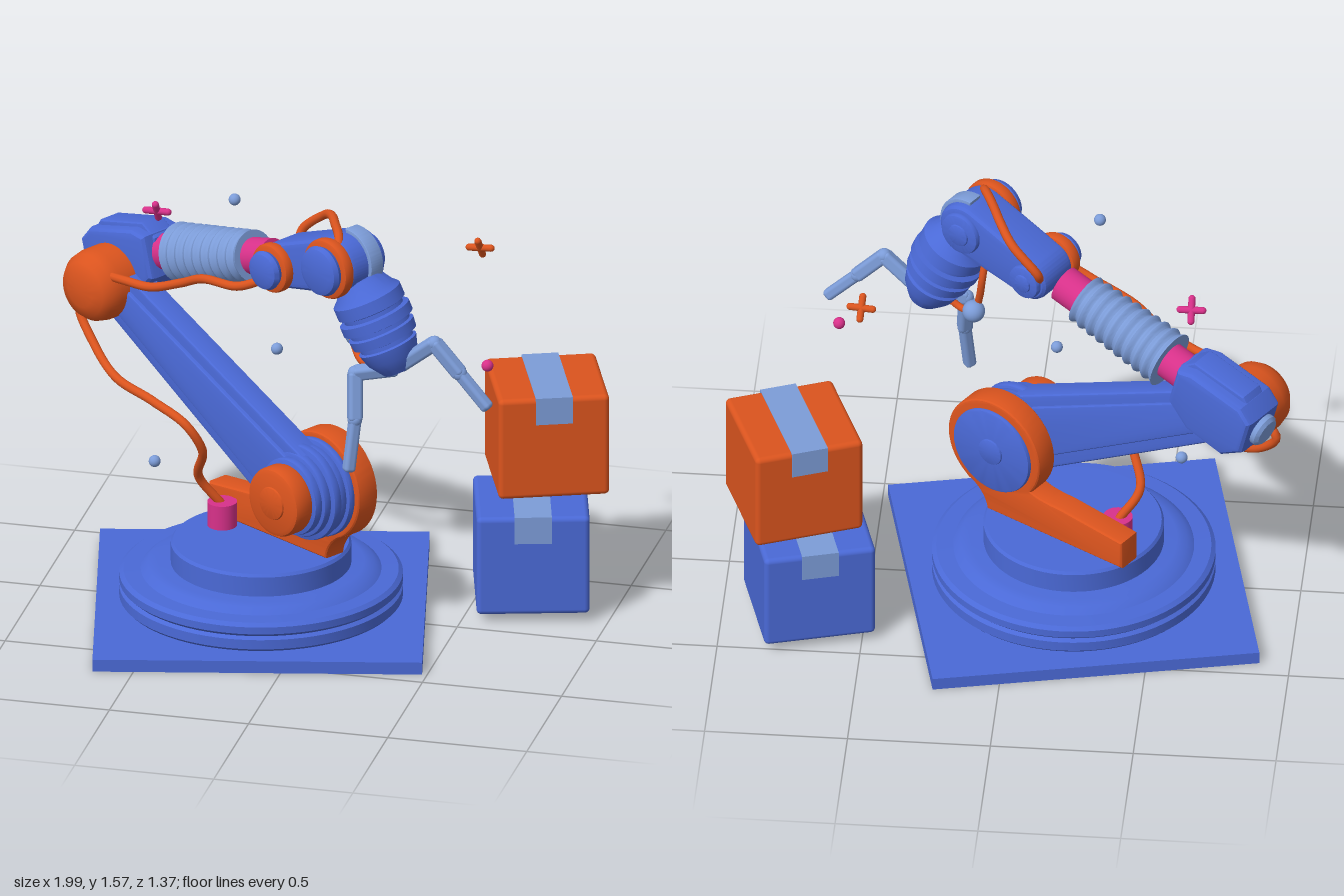
import * as THREE from 'three';
import { toCreasedNormals } from 'three/addons/utils/BufferGeometryUtils.js';
import { RoundedBoxGeometry } from 'three/addons/geometries/RoundedBoxGeometry.js';

const paint = (color) => new THREE.MeshStandardMaterial({ color });
const BLUE = paint(0x4a69d6), ORANGE = paint(0xdb541e), LIGHT = paint(0x7c9cd8), PINK = paint(0xd8318a);
const V = (p) => new THREE.Vector3(...p);

function add(parent, name, geo, mat, pos = [0, 0, 0], rot = [0, 0, 0]) {
  const m = new THREE.Mesh(geo, mat);
  m.name = name;
  m.position.set(...pos);
  m.rotation.set(...rot);
  parent.add(m);
  return m;
}

const lathe = (pts, seg = 64) => toCreasedNormals(
  new THREE.LatheGeometry(pts.map((p) => new THREE.Vector2(...p)), seg), 0.6);

// disc with softened rims, axis along z, spanning z0..z1
function disc(parent, name, mat, x, y, z0, z1, r, soft = 0.012) {
  const h = z1 - z0, s = Math.min(soft, h / 2), k = s * 0.3;
  const g = lathe([[0, 0], [r - s, 0], [r - k, k], [r, s], [r, h - s], [r - k, h - k], [r - s, h], [0, h]], 48);
  return add(parent, name, g.rotateX(Math.PI / 2), mat, [x, y, z0]);
}

// bevelled slab of a side profile, spanning z0..z1
function slab(parent, name, mat, shape, z0, z1, bevel = 0.012) {
  const g = new THREE.ExtrudeGeometry(shape, {
    depth: z1 - z0 - 2 * bevel, bevelThickness: bevel, bevelSize: bevel,
    bevelOffset: -bevel, bevelSegments: 3, curveSegments: 32,
  });
  return add(parent, name, toCreasedNormals(g, 0.5), mat, [0, 0, z0 + bevel]);
}

// outline around two circles
function hull(x1, y1, r1, x2, y2, r2) {
  const t = Math.atan2(y2 - y1, x2 - x1);
  const f = Math.acos((r1 - r2) / Math.hypot(x2 - x1, y2 - y1));
  const s = new THREE.Shape();
  s.absarc(x1, y1, r1, t + f, t - f + 2 * Math.PI, false);
  s.absarc(x2, y2, r2, t - f, t + f, false);
  return s;
}

const polygon = (pts) => new THREE.Shape(pts.map((p) => new THREE.Vector2(...p)));

function cable(parent, name, pts, r = 0.016) {
  const curve = new THREE.CatmullRomCurve3(pts.map(V));
  add(parent, name, new THREE.TubeGeometry(curve, 64, r, 10), ORANGE);
}

// turn a mesh's y axis from a towards b, starting at a
function aim(mesh, a, b) {
  mesh.position.copy(V(a));
  mesh.quaternion.setFromUnitVectors(new THREE.Vector3(0, 1, 0), V(b).sub(V(a)).normalize());
}

function addBase(root) {
  const base = new THREE.Group();
  base.name = 'base';
  base.position.x = -0.205;
  root.add(base);
  add(base, 'basePlate', new THREE.BoxGeometry(1.15, 0.045, 1.15), BLUE, [0, 0.0225, 0], [0, 0.222, 0]);
  add(base, 'turntable', lathe([[0, 0.045], [0.485, 0.045], [0.495, 0.055], [0.495, 0.09], [0.482, 0.1],
    [0.495, 0.112], [0.495, 0.138], [0.48, 0.15], [0.42, 0.152], [0.395, 0.172], [0.36, 0.178], [0, 0.178]], 80), BLUE);
  add(base, 'turntableTop', lathe([[0.315, 0.17], [0.315, 0.25], [0.307, 0.26], [0, 0.26]], 80), BLUE);
}

function addArm(root) {
  const arm = new THREE.Group();
  arm.name = 'arm';
  arm.position.x = -0.205;
  arm.rotation.y = -0.56;
  root.add(arm);

  // shoulder bracket with its tail
  const b = polygon([[-0.31, 0.26], [0.28, 0.26]]);
  b.quadraticCurveTo(0.29, 0.33, 0.365, 0.366);
  b.absarc(0.25, 0.53, 0.2, -0.96, 3.75, false);
  b.quadraticCurveTo(0.05, 0.4, -0.04, 0.4);
  b.lineTo(-0.31, 0.37);
  slab(arm, 'shoulderBracket', ORANGE, b, -0.135, -0.04);
  disc(arm, 'shoulderBackDisc', BLUE, 0.25, 0.53, -0.15, -0.12, 0.165, 0.008);
  disc(arm, 'shoulderBackHub', BLUE, 0.25, 0.53, -0.158, -0.14, 0.05, 0.005);
  [[-0.045, -0.015, 0.18], [-0.02, 0.02, 0.165], [0.015, 0.05, 0.175], [0.045, 0.08, 0.155], [0.07, 0.11, 0.14]]
    .forEach(([z0, z1, r]) => disc(arm, 'shoulderRing', BLUE, 0.25, 0.53, z0, z1, r, 0.008));
  disc(arm, 'shoulderCap', ORANGE, 0.25, 0.53, 0.1, 0.188, 0.126, 0.02);
  disc(arm, 'shoulderCapHub', ORANGE, 0.25, 0.53, 0.18, 0.196, 0.06, 0.012);

  // lower arm
  slab(arm, 'lowerArm', BLUE, hull(0.25, 0.53, 0.15, -0.7, 1.04, 0.095), -0.02, 0.075);
  slab(arm, 'lowerArmPanel', BLUE, hull(0.2, 0.56, 0.1, -0.62, 1, 0.055), -0.03, 0.09, 0.008);

  // elbow
  const dome = lathe([[0, 0], [0.115, 0], [0.13, 0.015], [0.13, 0.13], [0.122, 0.17], [0.1, 0.2], [0.06, 0.215], [0, 0.22]], 48);
  add(arm, 'elbowCap', dome.rotateX(Math.PI / 2), ORANGE, [-0.71, 1.04, -0.02]);

  // forearm, built along its own tilted axis
  const fore = new THREE.Group();
  fore.name = 'forearm';
  fore.position.set(-0.5, 1.18, -0.057);
  fore.rotation.z = 0.265;
  arm.add(fore);
  slab(fore, 'elbowBlock', BLUE, polygon([[-0.04, 0.075], [-0.1, 0.1], [-0.32, 0.1], [-0.375, 0.06], [-0.375, -0.08],
    [-0.3, -0.15], [-0.14, -0.145], [-0.04, -0.08]]), -0.095, 0.095, 0.025);
  slab(fore, 'elbowBlockRib', BLUE, polygon([[-0.03, 0.06], [-0.08, 0.115], [-0.3, 0.118], [-0.35, 0.07],
    [-0.3, -0.04], [-0.05, -0.05]]), -0.05, 0.05, 0.01);
  const along = [0, 0, -Math.PI / 2];
  add(fore, 'elbowEndCap', lathe([[0, 0], [0.048, 0], [0.06, 0.012], [0.06, 0.04], [0, 0.04]], 32), LIGHT, [-0.405, -0.01, 0], along);
  for (const a of [-0.05, 0.41]) add(fore, 'collar', new THREE.CylinderGeometry(0.066, 0.066, 0.11, 32), PINK, [a + 0.055, 0, 0], along);
  const ribs = [[0, 0.04]];
  for (let i = 0; i <= 72; i++) {
    const t = i / 72;
    ribs.push([0.1 - 0.014 * t + 0.006 * Math.cos(t * 18 * Math.PI), 0.04 + 0.38 * t]);
  }
  ribs.push([0, 0.42]);
  add(fore, 'bellows', lathe(ribs, 40), LIGHT, [0, 0, 0], along);

  // wrist link between two pivots
  const joints = [[0.1, 1.335, 0.085, 'innerPivot'], [0.38, 1.42, 0.105, 'outerPivot']];
  slab(arm, 'wristLink', BLUE, hull(0.1, 1.335, 0.082, 0.38, 1.42, 0.104), -0.145, 0.025, 0.025);
  for (const [x, y, r, name] of joints) {
    disc(arm, name + 'Ring', ORANGE, x, y, 0.015, 0.06, r + 0.004);
    disc(arm, name + 'Cap', BLUE, x, y, 0.05, 0.1, r - 0.014, 0.03);
    disc(arm, name + 'BackCap', BLUE, x, y, -0.165, -0.13, r * 0.75);
    disc(arm, name + 'BackHub', BLUE, x, y, -0.172, -0.15, r * 0.4, 0.006);
  }
  // strap over the end of the outer pivot
  const strap = new THREE.Shape();
  strap.absarc(0.38, 1.42, 0.118, -0.9, 1.7, false);
  strap.absarc(0.38, 1.42, 0.09, 1.7, -0.9, true);
  slab(arm, 'wristStrap', LIGHT, strap, -0.115, -0.055, 0.005);

  // cable plug and cables
  add(arm, 'cablePlug', new THREE.CylinderGeometry(0.052, 0.052, 0.09, 32), PINK, [-0.185, 0.305, 0.01]);
  cable(arm, 'baseCable', [[-0.75, 0.97, 0.1], [-0.81, 0.92, 0.1], [-0.72, 0.82, 0.12], [-0.57, 0.75, 0.16], [-0.34, 0.74, 0.2],
    [-0.17, 0.7, 0.2], [-0.14, 0.6, 0.15], [-0.23, 0.45, 0.08], [-0.19, 0.34, 0.01]]);
  cable(arm, 'forearmCable', [[-0.68, 1.1, 0.13], [-0.55, 1.11, 0.13], [-0.43, 1.12, 0.12], [-0.3, 1.17, 0.1],
    [-0.19, 1.22, 0.1], [-0.02, 1.245, 0.1], [0.05, 1.275, 0.08], [0.1, 1.31, 0.03]]);
  cable(arm, 'wristCable', [[0.05, 1.35, -0.13], [0.04, 1.4, -0.16], [0.14, 1.485, -0.17], [0.22, 1.52, -0.13],
    [0.3, 1.53, -0.07], [0.38, 1.525, -0.01], [0.42, 1.48, 0.03]]);
}

function addGripper(root) {
  const g = new THREE.Group();
  g.name = 'gripper';
  root.add(g);
  // stepped wrist cone
  const cone = add(g, 'wristCone', lathe([[0, 0], [0.075, 0], [0.105, 0.05], [0.125, 0.07], [0.125, 0.115], [0.11, 0.12], [0.11, 0.135],
    [0.13, 0.14], [0.13, 0.175], [0.11, 0.18], [0.11, 0.195], [0.122, 0.2], [0.118, 0.235], [0.098, 0.24],
    [0.098, 0.255], [0.108, 0.26], [0.094, 0.305], [0.07, 0.34], [0.055, 0.36], [0, 0.36]], 48), BLUE);
  aim(cone, [0.19, 1.37, 0.175], [0.34, 1.04, 0.195]);
  // two jointed fingers
  const fingers = [
    [[0.33, 1.05, 0.2], [0.19, 1.03, 0.23], [0.2, 0.87, 0.27], [0.185, 0.69, 0.3]],
    [[0.35, 1.07, 0.21], [0.48, 1.18, 0.245], [0.575, 1.08, 0.26], [0.68, 0.97, 0.28]],
  ];
  for (const pts of fingers) {
    for (let i = 0; i < 3; i++) {
      const len = V(pts[i]).distanceTo(V(pts[i + 1])), w = [0.05, 0.05, 0.042][i];
      const geo = new RoundedBoxGeometry(w, len + 0.012, w, 3, 0.014).translate(0, len / 2, 0);
      aim(add(g, 'fingerSegment', geo, LIGHT), pts[i], pts[i + 1]);
      if (i) add(g, 'knuckle', new THREE.SphereGeometry(0.026, 16, 12), LIGHT, pts[i]);
    }
  }
  add(g, 'wristKnob', new THREE.SphereGeometry(0.04, 24, 16), LIGHT, [0.15, 1.1, 0.055]);
  cable(g, 'gripperCable', [[0.11, 1.32, 0.06], [0.12, 1.24, 0.045], [0.13, 1.16, 0.06], [0.15, 1.08, 0.09],
    [0.2, 1.04, 0.15], [0.27, 1.08, 0.18]], 0.013);
}

// parcel with tape over the top and down both ends
function addParcel(root, name, mat, x, y0, z, turn, w, h) {
  const p = new THREE.Group();
  p.name = name;
  p.position.set(x, y0, z);
  p.rotation.y = turn;
  root.add(p);
  add(p, 'carton', new RoundedBoxGeometry(w, h, w, 4, 0.018), mat, [0, h / 2, 0]);
  add(p, 'tapeTop', new THREE.BoxGeometry(0.13, 0.006, w + 0.006), LIGHT, [0, h, 0]);
  for (const s of [-1, 1]) add(p, 'tapeEnd', new THREE.BoxGeometry(0.13, 0.1, 0.006), LIGHT, [0, h - 0.047, s * w / 2]);
}

function addFloaters(root) {
  const balls = [[[-0.295, 1.55, 0.02], LIGHT], [[-0.145, 0.995, 0.012], LIGHT], [[-0.58, 0.53, 0.03], LIGHT], [[0.62, 1.025, 0.045], PINK]];
  for (const [pos, mat] of balls) add(root, 'floatingBall', new THREE.SphereGeometry(0.021, 20, 14), mat, pos);
  const crosses = [[[-0.637, 1.365, -0.23], PINK, 0], [[0.515, 1.33, -0.27], ORANGE, 0.08]];
  for (const [pos, mat, spin] of crosses) {
    const c = new THREE.Group();
    c.name = 'floatingCross';
    c.position.set(...pos);
    c.rotation.set(0.58, 0, spin);
    root.add(c);
    for (const r of [0, Math.PI / 2]) add(c, 'crossBar', new THREE.CapsuleGeometry(0.0125, 0.08, 4, 12), mat, [0, 0, 0], [0, 0, r]);
  }
}

export function createModel() {
  const root = new THREE.Group();
  root.name = 'robotArmWithParcels';
  addBase(root);
  addArm(root);
  addGripper(root);
  addParcel(root, 'lowerParcel', BLUE, 0.695, 0.032, -0.285, 0.28, 0.395, 0.368);
  addParcel(root, 'upperParcel', ORANGE, 0.748, 0.475, -0.3, 0.375, 0.39, 0.377);
  addFloaters(root);
  return root;
}
